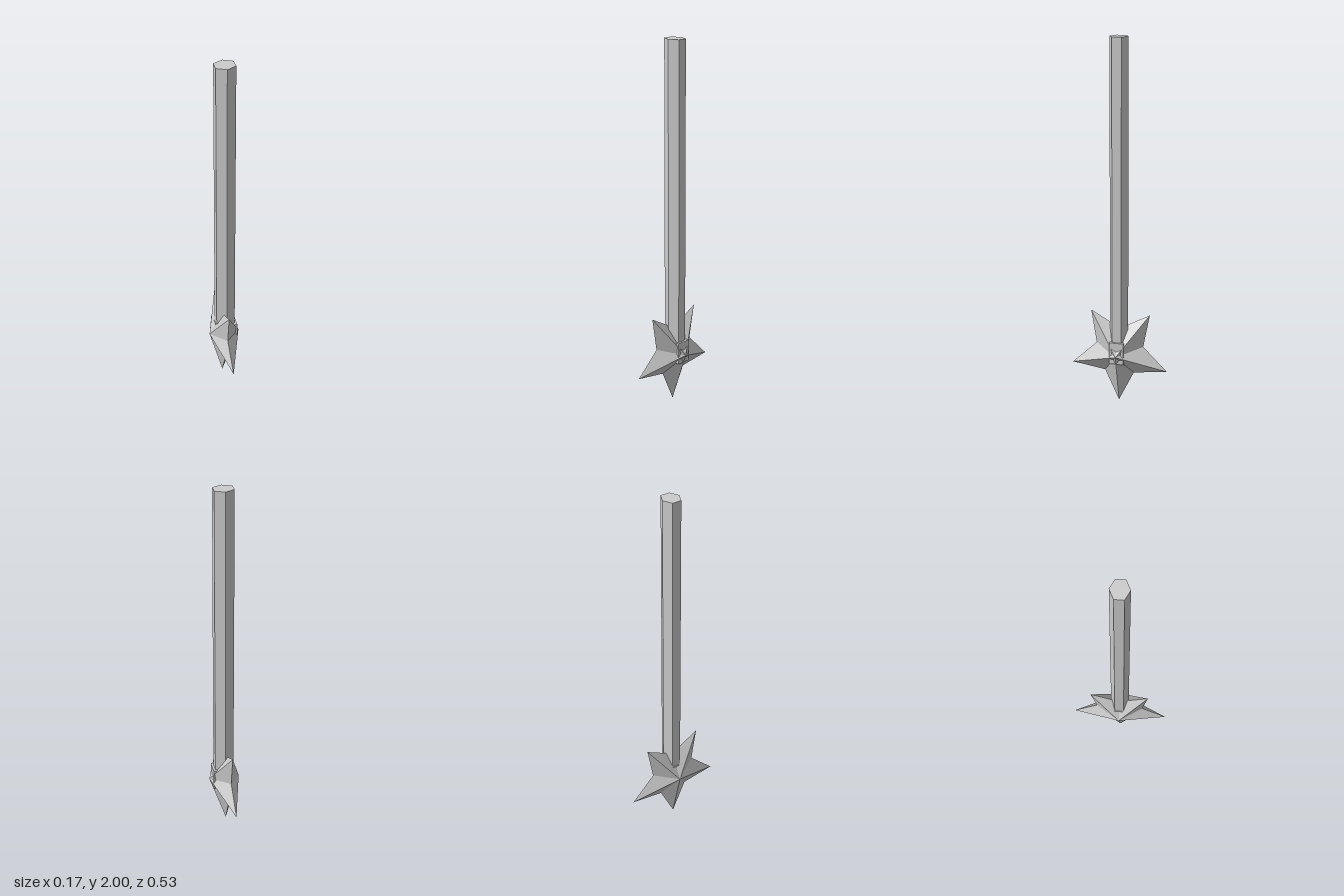
import * as THREE from 'three';

const material = new THREE.MeshStandardMaterial({ color: 0xcccccc, flatShading: true });

function addPart(group, name, geometry, x = 0, y = 0, z = 0) {
  const mesh = new THREE.Mesh(geometry, material);
  mesh.name = name;
  mesh.position.set(x, y, z);
  group.add(mesh);
  return mesh;
}

// Faceted five-pointed star in the YZ plane, rising to an apex on each side
function starGeometry(outer, inner, depth) {
  const rim = [];
  for (let i = 0; i < 10; i++) {
    const a = (i * Math.PI) / 5;
    const r = i % 2 ? inner : outer;
    rim.push([-0.011, -r * Math.cos(a), -r * Math.sin(a)]);
  }
  const positions = [];
  rim.forEach((p, i) => {
    const q = rim[(i + 1) % rim.length];
    positions.push(depth, 0, 0, ...p, ...q);
    positions.push(-depth, 0, 0, ...q, ...p);
  });
  const geometry = new THREE.BufferGeometry();
  geometry.setAttribute('position', new THREE.Float32BufferAttribute(positions, 3));
  geometry.computeVertexNormals();
  return geometry;
}

export function createModel() {
  const group = new THREE.Group();
  group.name = 'starWand';

  // Six-sided handle, slightly wider across x
  const bottom = 0.25;
  const handle = new THREE.CylinderGeometry(0.051, 0.051, 2 - bottom, 6);
  handle.scale(1.17, 1, 1);
  addPart(group, 'handle', handle, 0.0035, (2 + bottom) / 2, 0);

  // Star head, tilted a touch about its own axis
  const star = addPart(group, 'starHead', starGeometry(0.28, 0.138, 0.084), 0, 0.28, 0);
  star.rotation.x = -0.015;

  // Small block joining the star to the handle
  addPart(group, 'joint', new THREE.BoxGeometry(0.119, 0.12, 0.08), 0.0075, 0.295, 0);

  return group;
}
